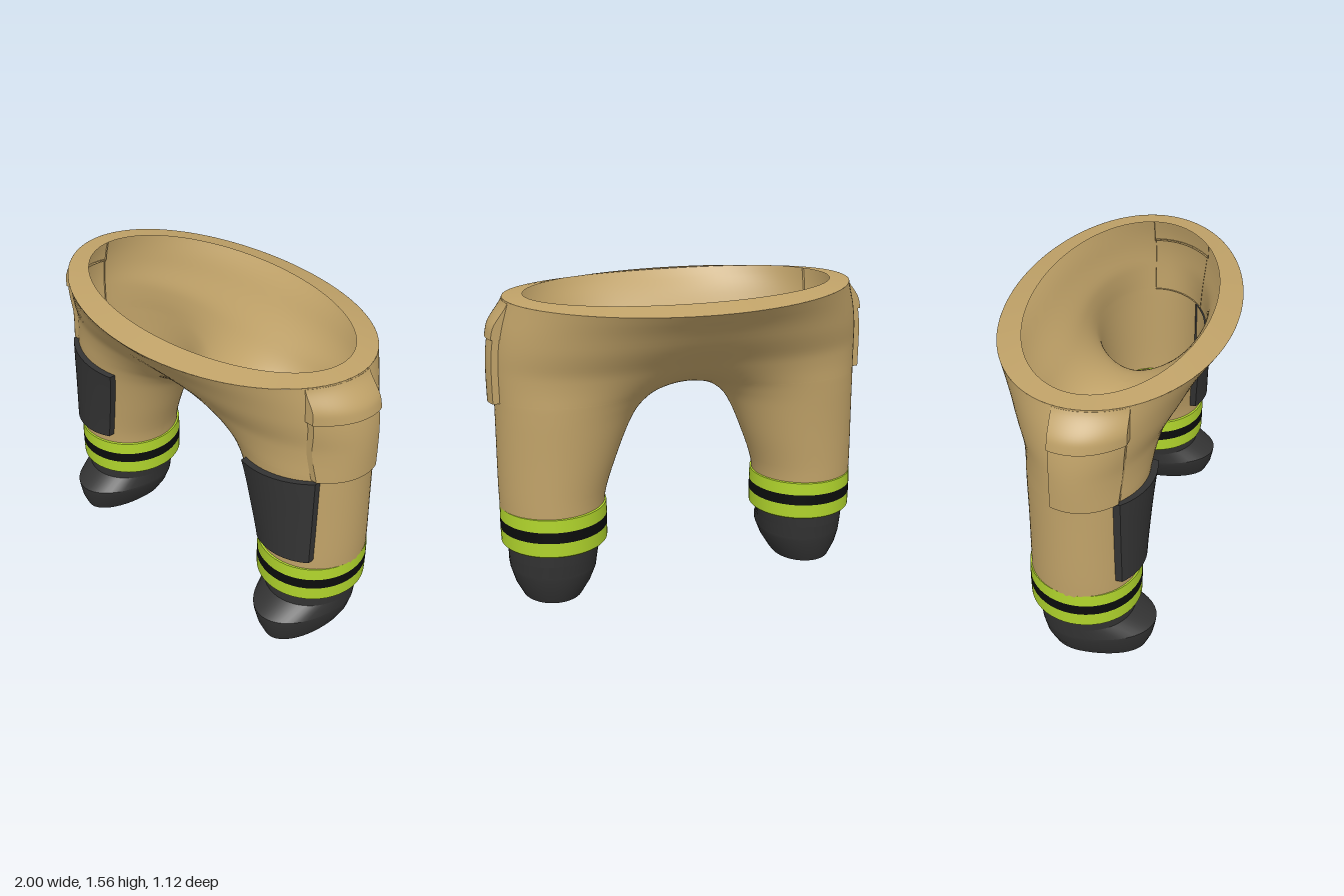
import * as THREE from 'three';
import { mergeVertices } from 'three/addons/utils/BufferGeometryUtils.js';

const makeMaterial = (name, color) => {
  const m = new THREE.MeshStandardMaterial({ color, side: THREE.DoubleSide });
  m.name = name;
  return m;
};

// Smooth interpolation through [y, value] pairs
function curve(pts) {
  const slope = (i) => {
    const a = pts[Math.max(i - 1, 0)], b = pts[Math.min(i + 1, pts.length - 1)];
    return (b[1] - a[1]) / (b[0] - a[0]);
  };
  return (y) => {
    let i = 0;
    while (i < pts.length - 2 && y > pts[i + 1][0]) i++;
    const [y0, a] = pts[i], [y1, b] = pts[i + 1], h = y1 - y0;
    const t = THREE.MathUtils.clamp((y - y0) / h, 0, 1), t2 = t * t, t3 = t2 * t;
    return a * (2 * t3 - 3 * t2 + 1) + h * slope(i) * (t3 - 2 * t2 + t)
      + b * (3 * t2 - 2 * t3) + h * slope(i + 1) * (t3 - t2);
  };
}

// Grid surface from fn(u, v); outside is du x dv, flip for mirrored grids
function grid(fn, nu, nv, flip = false) {
  const pos = [], idx = [];
  for (let j = 0; j <= nv; j++) for (let i = 0; i <= nu; i++) pos.push(...fn(i / nu, j / nv));
  for (let j = 0; j < nv; j++) for (let i = 0; i < nu; i++) {
    const a = j * (nu + 1) + i, b = a + 1, c = a + nu + 1, d = c + 1;
    idx.push(...(flip ? [a, d, b, a, c, d] : [a, b, d, a, d, c]));
  }
  return finish(pos, idx);
}

function finish(pos, idx) {
  let g = new THREE.BufferGeometry();
  g.setAttribute('position', new THREE.Float32BufferAttribute(pos, 3));
  g.setIndex(idx);
  g = mergeVertices(g, 1e-4);
  g.computeVertexNormals();
  return g;
}

// Trouser shape: every level is a two-lobed oval that splits into legs below the crotch
const BOTTOM = 0.45, CROTCH = 1.07, TOP = 1.555, LOBE = 0.43;
const outerX = curve([[0.45, 0.965], [0.6, 0.968], [1, 0.965], [1.25, 0.965], [1.4, 0.945], [TOP, 0.9]]);
const depth = curve([[0.45, 0.268], [0.6, 0.268], [0.9, 0.28], [1.1, 0.297], [1.2, 0.32], [1.26, 0.35], [1.4, 0.45], [TOP, 0.56]]);
const split = curve([[0.45, 0.19], [0.55, 0.18], [0.75, 0.125], [0.93, 0.073], [1, 0.045], [CROTCH, 0], [1.25, -0.18], [1.4, -0.32], [TOP, -LOBE]]);
const lobe = (u, o, s) => Math.max(0, (o * o - u) * (u - s) / (u + LOBE));

function level(y) {
  const o = outerX(y), s = split(y);
  let max = 0;
  for (let i = 0; i <= 100; i++) max = Math.max(max, lobe((o * i / 100) ** 2, o, s));
  return { o, s, k: depth(y) ** 2 / max };
}
const bodyZ = (x, y) => {
  const { o, s, k } = level(y);
  return Math.sqrt(k * lobe(x * x, o, s));
};
const bodyX = (z, y) => {
  const { o, s, k } = level(y);
  const b = z * z - k * (o * o + s), c = k * o * o * s + LOBE * z * z;
  return Math.sqrt((-b + Math.sqrt(Math.max(0, b * b - 4 * k * c))) / (2 * k));
};
const dip = (y, z) => 0.025 * (z / 0.56) ** 2 * THREE.MathUtils.smoothstep(y, 1.4, TOP);

function trouserGeometry() {
  const rows = [], n = 26, cols = 40, pos = [], idx = [];
  for (let i = n; i > 0; i--) rows.push(CROTCH - (CROTCH - BOTTOM) * (i / n) ** 2);
  for (let i = 0; i <= n; i++) rows.push(CROTCH + (TOP - CROTCH) * (i / n) ** 1.8);
  for (const sx of [1, -1]) for (const sz of [1, -1]) {
    const base = pos.length / 3;
    for (const y of rows) {
      const { o, s, k } = level(y), xi = Math.sqrt(Math.max(0, s));
      for (let i = 0; i <= cols; i++) {
        const x = xi + (o - xi) * (1 - Math.cos(Math.PI * i / cols)) / 2;
        const onEdge = i === cols || (i === 0 && s >= 0);
        const z = onEdge ? 0 : Math.sqrt(k * lobe(x * x, o, s));
        pos.push(sx * x, y - dip(y, z), sz * z);
      }
    }
    for (let j = 0; j < rows.length - 1; j++) for (let i = 0; i < cols; i++) {
      const a = base + j * (cols + 1) + i, b = a + 1, c = a + cols + 1, d = c + 1;
      idx.push(...(sx * sz > 0 ? [a, b, d, a, d, c] : [a, d, b, a, c, d]));
    }
  }
  return finish(pos, idx);
}

export function createModel() {
  const model = new THREE.Group();
  model.name = 'workTrousers';
  const tan = makeMaterial('tanCloth', 0xc0a268);
  const charcoal = makeMaterial('charcoalRubber', 0x333333);
  const lime = makeMaterial('limeReflective', 0xb0d42c);
  const black = makeMaterial('blackStripe', 0x0b0c0c);
  const add = (parent, name, geometry, material) => {
    const m = new THREE.Mesh(geometry, material);
    m.name = name;
    parent.add(m);
    return m;
  };

  add(model, 'trousers', trouserGeometry(), tan);

  // Waist lip, rising slightly towards its inner edge
  add(model, 'waistLip', grid((u, v) => {
    const a = u * Math.PI * 2, c = Math.cos(a), s = Math.sin(a);
    return [c * (0.9 - 0.1 * v), TOP + v * 0.008 - (1 - v) * 0.025 * s * s, -s * (0.56 - 0.12 * v)];
  }, 80, 1), tan);

  for (const side of [1, -1]) {
    const leg = new THREE.Group();
    leg.name = side > 0 ? 'leftLeg' : 'rightLeg';
    model.add(leg);
    const sided = (fn, nu, nv) => grid((u, v) => {
      const p = fn(u, v);
      return [p[0] * side, p[1], p[2]];
    }, nu, nv, side < 0);

    // Raised cloth panel: a face lifted off the body and four edge strips
    const panel = (name, at, material) => {
      const g = new THREE.Group();
      g.name = name;
      leg.add(g);
      add(g, name + 'Face', sided((u, v) => at(u, v, 1), 16, 16), material);
      const edges = [(t) => [t, 0], (t) => [1, t], (t) => [1 - t, 1], (t) => [0, 1 - t]];
      for (const e of edges) add(g, name + 'Edge', sided((t, h) => at(...e(t), h), 16, 1), material);
    };
    const mix = THREE.MathUtils.lerp;

    // Knee patch
    panel('kneePatch', (u, v, h) => {
      const x = mix(mix(0.565, 0.48, v), 0.875, u);
      const y = mix(0.56, mix(1.005, 1.04, u), v);
      return [x, y, bodyZ(x, y) + mix(-0.01, 0.033, h)];
    }, charcoal);

    // Hip pocket and its flap
    panel('pocket', (u, v, h) => {
      const y = mix(mix(1.045, 1.06, u), 1.385, v);
      const z = mix(mix(0.215, 0.243, v), -0.07, u);
      return [bodyX(z, y) + mix(-0.01, 0.033, h), y, z];
    }, tan);
    panel('pocketFlap', (u, v, h) => {
      const y = mix(1.378, 1.548, v), z = mix(0.25, -0.075, u);
      const lift = 0.045 * (1 - THREE.MathUtils.smoothstep(y, 1.42, 1.56));
      return [bodyX(z, y) + mix(-0.01, lift, h), y - dip(y, z), z];
    }, tan);

    // Reflective cuff, outside and inside
    const ring = (name, points, material) => {
      const m = add(leg, name, new THREE.LatheGeometry(points.map((p) => new THREE.Vector2(...p)), 48), material);
      m.position.x = 0.695 * side;
      m.scale.z = 1.02;
    };
    ring('cuffUnderside', [[0.22, 0.305], [0.265, 0.295], [0.272, 0.302]], lime);
    ring('cuffLower', [[0.272, 0.302], [0.273, 0.375]], lime);
    ring('cuffStripe', [[0.273, 0.375], [0.273, 0.432]], black);
    ring('cuffUpper', [[0.273, 0.432], [0.271, 0.498]], lime);
    ring('cuffTop', [[0.271, 0.498], [0.255, 0.503]], lime);
    ring('cuffLiningUpper', [[0.236, 0.43], [0.264, 0.49]], lime);
    ring('cuffLiningStripe', [[0.226, 0.415], [0.236, 0.43]], black);
    ring('cuffLiningLower', [[0.17, 0.335], [0.226, 0.415]], lime);
    ring('bootTop', [[0.18, 0.335], [0, 0.335]], charcoal);

    // Boot: sections of [height, centre x, half width, front reach, back reach]
    const loft = (name, rows) => add(leg, name, sided((u, v) => {
      const [y, cx, w, front, back] = rows[Math.round(v * (rows.length - 1))];
      const a = Math.PI * (2 * u - 1), c = Math.cos(a);
      return [cx + w * Math.sin(a), y, c * (c > 0 ? front : back)];
    }, 48, rows.length - 1), charcoal);
    const sole = [0, 0.715, 0.155, 0.315, 0.18];
    const toe = [0.16, 0.705, 0.222, 0.36, 0.227];
    const ankle = [0.225, 0.703, 0.23, 0.25, 0.235];
    loft('bootSole', [[0, 0.715, 0, 0, 0], sole]);
    loft('bootFoot', [sole, [0.07, 0.71, 0.195, 0.345, 0.21], [0.14, 0.705, 0.22, 0.358, 0.225], toe]);
    loft('bootInstep', [toe, ankle]);
    loft('bootAnkle', [ankle, [0.325, 0.698, 0.243, 0.25, 0.242]]);
  }
  return model;
}
